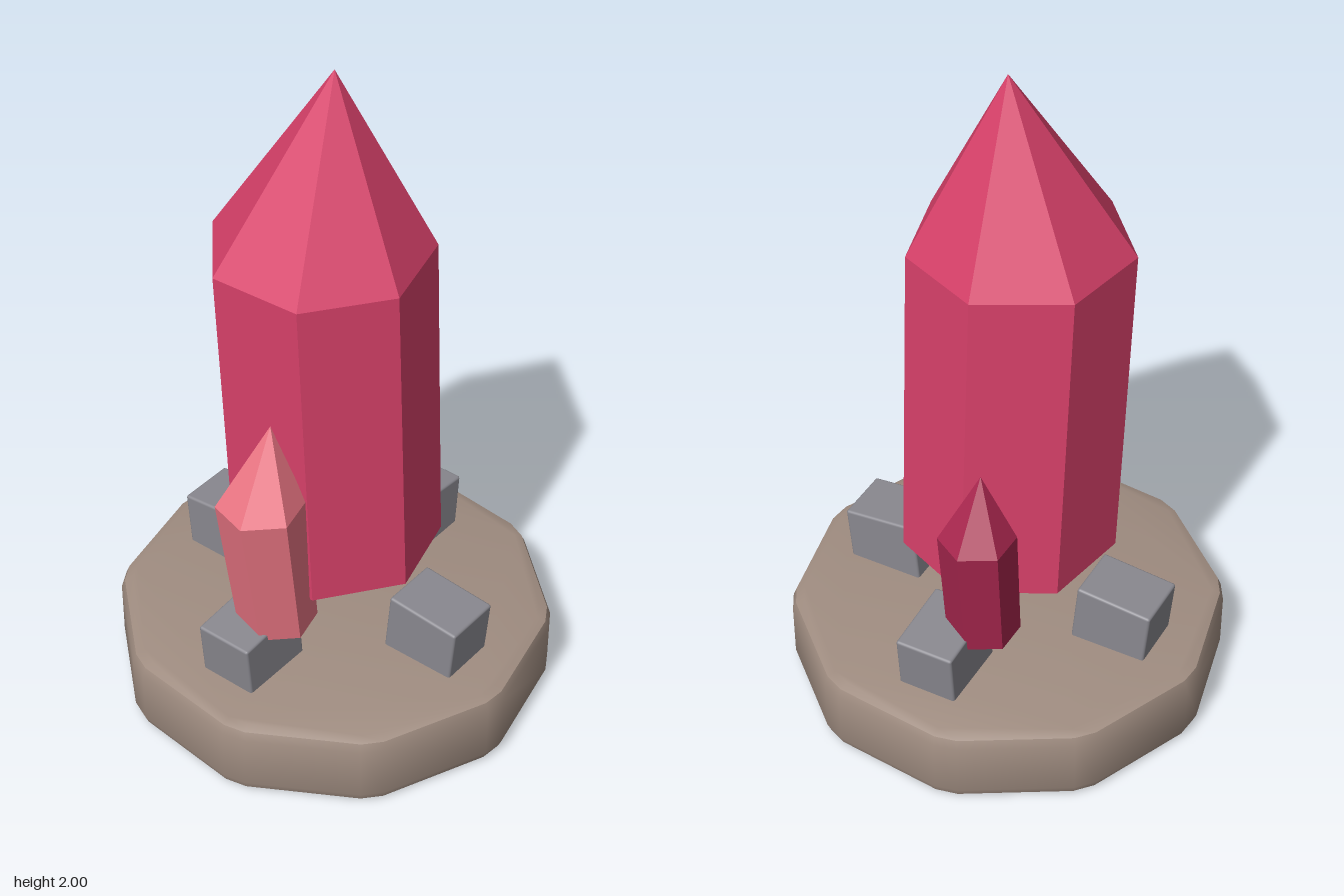
import * as THREE from 'three';
import { RoundedBoxGeometry } from 'three/addons/geometries/RoundedBoxGeometry.js';
import { toCreasedNormals } from 'three/addons/utils/BufferGeometryUtils.js';

function makeMesh(name, geometry, color, flatShading = false) {
  const mesh = new THREE.Mesh(geometry, new THREE.MeshStandardMaterial({ color, flatShading }));
  mesh.name = name;
  return mesh;
}

// Faceted crystal: polygon rings [x, y, z, radius] from bottom to top, closed by points at both ends
function crystalGeometry(sides, startDegrees, rings) {
  const positions = [];
  const corner = ([x, y, z, r], k) => {
    const a = THREE.MathUtils.degToRad(startDegrees) + (k / sides) * Math.PI * 2;
    return [x + r * Math.cos(a), y, z + r * Math.sin(a)];
  };
  for (let i = 0; i < rings.length - 1; i++) {
    const [low, high] = [rings[i], rings[i + 1]];
    for (let k = 0; k < sides; k++) {
      const a = corner(low, k), b = corner(low, k + 1);
      const c = corner(high, k + 1), d = corner(high, k);
      if (low[3] > 0) positions.push(...a, ...c, ...b);
      if (high[3] > 0) positions.push(...a, ...d, ...c);
    }
  }
  const geometry = new THREE.BufferGeometry();
  geometry.setAttribute('position', new THREE.Float32BufferAttribute(positions, 3));
  geometry.computeVertexNormals();
  return geometry;
}

// Ten-sided slab with clipped corners and bevelled rims
function baseGeometry() {
  const sides = 10, radius = 0.615, clip = 0.03, bevel = 0.035, height = 0.235;
  const corners = Array.from({ length: sides }, (_, k) => {
    const a = Math.PI / 2 + (k / sides) * Math.PI * 2;
    return new THREE.Vector2(radius * Math.cos(a), radius * Math.sin(a));
  });
  const edge = corners[0].distanceTo(corners[1]);
  const outline = corners.flatMap((p, k) => [
    p.clone().lerp(corners[(k + sides - 1) % sides], clip / edge),
    p.clone().lerp(corners[(k + 1) % sides], clip / edge),
  ]);
  const geometry = new THREE.ExtrudeGeometry(new THREE.Shape(outline), {
    depth: height - 2 * bevel, bevelThickness: bevel, bevelSize: bevel, bevelSegments: 2,
  });
  geometry.rotateX(-Math.PI / 2).translate(0, bevel, 0);
  return toCreasedNormals(geometry, 0.5);
}

export function createModel() {
  const model = new THREE.Group();
  model.name = 'crystalCluster';

  model.add(makeMesh('base', baseGeometry(), 0xa08d81));

  // Four stone blocks around the centre, leaning outwards
  const blockGeometry = new RoundedBoxGeometry(0.178, 0.24, 0.232, 2, 0.008);
  for (let i = 0; i < 4; i++) {
    const pivot = new THREE.Group();
    pivot.name = 'stoneBlock' + (i + 1);
    pivot.rotation.y = 0.1 + (i * Math.PI) / 2;
    const block = makeMesh('block', blockGeometry, 0x89888f);
    block.position.set(0, 0.291, 0.377);
    block.rotation.x = 0.09;
    pivot.add(block);
    model.add(pivot);
  }

  // Tall seven-sided crystal
  model.add(makeMesh('mainCrystal', crystalGeometry(7, -8, [
    [0, 0.33, 0, 0], [-0.004, 0.475, -0.002, 0.315], [-0.038, 1.47, -0.018, 0.317], [0, 2, 0, 0],
  ]), 0xd8416a, true));

  // Two small six-sided crystals with blunt undersides
  model.add(makeMesh('rightCrystal', crystalGeometry(6, 40, [
    [-0.31, 0.35, 0.07, 0], [-0.31, 0.35, 0.07, 0.06], [-0.31, 0.385, 0.075, 0.115],
    [-0.37, 0.835, 0.08, 0.125], [-0.315, 1.065, 0.067, 0],
  ]), 0xe87482, true));
  model.add(makeMesh('leftCrystal', crystalGeometry(6, -5, [
    [0.29, 0.34, -0.11, 0], [0.29, 0.34, -0.11, 0.05], [0.295, 0.37, -0.115, 0.105],
    [0.333, 0.74, -0.122, 0.11], [0.298, 0.928, -0.111, 0],
  ]), 0xa8264e, true));

  return model;
}
